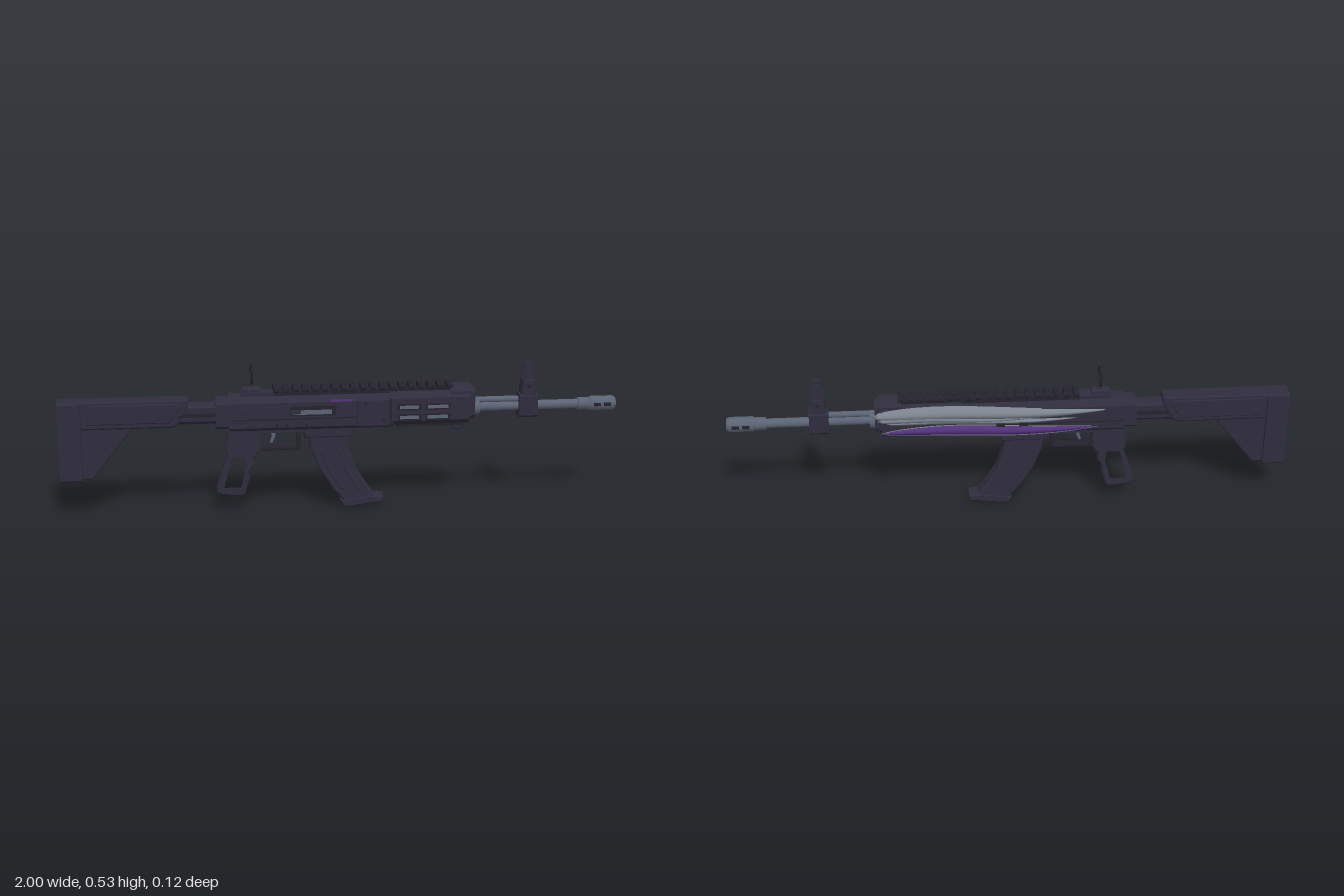
import * as THREE from 'three';
import { ParametricGeometry } from 'three/addons/geometries/ParametricGeometry.js';

const mat = (name, color, side = THREE.FrontSide) => {
  const m = new THREE.MeshStandardMaterial({ color, side });
  m.name = name;
  return m;
};

export function createModel() {
  const body = mat('dark body', 0x2f2d3d);
  const dark = mat('rail black', 0x24222d);
  const steel = mat('gunmetal', 0x5a6373);
  const silver = mat('wing silver', 0x7a838d, THREE.DoubleSide);
  const purple = mat('purple blade', 0x53327c, THREE.DoubleSide);

  const model = new THREE.Group();
  const root = new THREE.Group();
  root.name = 'rifle';
  root.position.z = 0.007;
  model.add(root);

  const add = (name, geo, m) => {
    const mesh = new THREE.Mesh(geo, m);
    mesh.name = name;
    root.add(mesh);
    return mesh;
  };
  const box = (name, m, x0, x1, y0, y1, z0, z1) =>
    add(name, new THREE.BoxGeometry(x1 - x0, y1 - y0, z1 - z0)
      .translate((x0 + x1) / 2, (y0 + y1) / 2, (z0 + z1) / 2), m);
  const outline = (pts, C = THREE.Shape) => new C(pts.map(p => new THREE.Vector2(p[0], p[1])));

  // Side profile (x, y) extruded symmetrically in z, with a small bevel
  const plate = (name, m, pts, half, bevel = 0.006, holes = []) => {
    const s = outline(pts);
    s.holes = holes.map(h => outline(h, THREE.Path));
    const g = new THREE.ExtrudeGeometry(s, {
      depth: 2 * (half - bevel), bevelEnabled: bevel > 0, bevelSize: bevel,
      bevelThickness: bevel, bevelOffset: -bevel, bevelSegments: 1,
    });
    return add(name, g.translate(0, 0, bevel - half), m);
  };

  // Chamfered block running along x: half width w, top and bottom chamfers
  const block = (name, m, x0, x1, y0, y1, w, ct, cb) => {
    const s = outline([[-w + cb, y0], [w - cb, y0], [w, y0 + cb], [w, y1 - ct],
      [w - ct, y1], [-w + ct, y1], [-w, y1 - ct], [-w, y0 + cb]]);
    const g = new THREE.ExtrudeGeometry(s, { depth: x1 - x0, bevelEnabled: false });
    return add(name, g.rotateY(Math.PI / 2).translate(x0, 0, 0), m);
  };
  const rod = (name, m, x0, x1, y, r, sides = 16, r2 = r) =>
    add(name, new THREE.CylinderGeometry(r2, r, x1 - x0, sides)
      .rotateZ(-Math.PI / 2).translate((x0 + x1) / 2, y, 0), m);
  const pin = (name, m, x, y, r, half) =>
    add(name, new THREE.CylinderGeometry(r, r, 2 * half, 12).rotateX(Math.PI / 2).translate(x, y, 0), m);

  // Stock
  block('buttPad', body, -1, -0.922, 0.128, 0.418, 0.04, 0.008, 0.008);
  plate('stockBeam', body, [[-0.925, 0.317], [-0.6, 0.317], [-0.583, 0.325], [-0.545, 0.39],
    [-0.545, 0.418], [-0.925, 0.418]], 0.034);
  plate('stockCheek', body, [[-0.9, 0.335], [-0.61, 0.335], [-0.575, 0.39], [-0.575, 0.405],
    [-0.9, 0.405]], 0.037, 0.003);
  plate('stockStrut', body, [[-0.925, 0.135], [-0.885, 0.135], [-0.735, 0.325], [-0.925, 0.325]],
    0.028, 0.005, [[[-0.886, 0.2], [-0.886, 0.316], [-0.805, 0.316]]]);
  block('bufferTube', body, -0.6, -0.43, 0.325, 0.397, 0.03, 0.012, 0.012);
  box('tubeRib', dark, -0.58, -0.45, 0.352, 0.366, -0.034, 0.034);

  // Receiver and handguard
  block('receiverRear', body, -0.45, -0.402, 0.308, 0.414, 0.043, 0.016, 0.01);
  block('receiverLower', body, -0.405, 0.18, 0.298, 0.352, 0.046, 0.002, 0.012);
  block('receiverUpper', body, -0.405, 0.17, 0.34, 0.424, 0.048, 0.024, 0.002);
  block('handguard', body, 0.17, 0.455, 0.304, 0.43, 0.049, 0.026, 0.018);
  block('handguardCap', body, 0.385, 0.465, 0.315, 0.442, 0.04, 0.02, 0.015);
  block('frontCollar', body, 0.46, 0.478, 0.318, 0.43, 0.034, 0.014, 0.014);
  box('receiverPanel', body, 0.052, 0.165, 0.308, 0.4, 0.045, 0.051);
  box('seamFront', dark, 0.166, 0.174, 0.306, 0.405, -0.0495, 0.0495);
  box('receiverSeam', dark, -0.4, 0.05, 0.338, 0.343, -0.0485, 0.0485);
  box('topCover', body, -0.36, -0.24, 0.418, 0.434, -0.027, 0.027);
  box('lowerStep', body, -0.38, 0.06, 0.288, 0.302, -0.033, 0.033);
  box('underRail', dark, 0.2, 0.44, 0.294, 0.306, -0.024, 0.024);
  plate('handStop', body, [[0.39, 0.304], [0.44, 0.304], [0.43, 0.278], [0.405, 0.278]], 0.02, 0.004);

  // Ejection port with bolt and handle
  box('portFrame', dark, -0.19, -0.025, 0.35, 0.386, 0.045, 0.049);
  box('bolt', steel, -0.18, -0.04, 0.356, 0.372, 0.045, 0.0515);
  box('boltHandle', body, -0.19, -0.15, 0.36, 0.374, 0.045, 0.056);
  box('purpleInlay', purple, -0.045, 0.03, 0.399, 0.406, 0.043, 0.0485);
  box('selector', body, -0.37, -0.25, 0.372, 0.384, 0.045, 0.052);
  for (const [x, y] of [[-0.235, 0.318], [-0.2, 0.318], [-0.13, 0.318], [0.08, 0.39], [0.145, 0.325]])
    pin('pin', dark, x, y, 0.006, 0.0525);

  // Handguard slots, on the side that is free of the wing
  for (const y of [0.335, 0.372]) for (const [a, b] of [[0.195, 0.28], [0.295, 0.385]]) {
    box('slotFrame', dark, a, b, y - 0.012, y + 0.012, 0.045, 0.0505);
    box('slot', steel, a + 0.008, b - 0.008, y - 0.006, y + 0.006, 0.046, 0.0518);
  }

  // Top rail
  box('railBase', dark, -0.245, 0.39, 0.418, 0.436, -0.027, 0.027);
  for (let i = 0; i < 19; i++) {
    const x = -0.245 + i * 0.0345;
    block('railTooth', dark, x, x + 0.02, 0.43, 0.451, 0.03, 0.006, 0.006);
  }

  // Barrel, gas tube and muzzle
  rod('barrel', steel, 0.45, 0.88, 0.355, 0.017);
  rod('barrelNut', steel, 0.47, 0.497, 0.355, 0.03, 12);
  rod('gasTube', steel, 0.46, 0.66, 0.38, 0.011);
  rod('muzzleNeck', steel, 0.862, 0.905, 0.355, 0.023, 12);
  rod('muzzleBrake', steel, 0.905, 0.99, 0.355, 0.027, 12);
  rod('muzzleTip', steel, 0.99, 1, 0.355, 0.027, 12, 0.022);
  rod('bore', dark, 0.996, 1.0005, 0.355, 0.011, 12);
  for (const s of [-1, 1]) for (const x of [0.918, 0.955])
    box('muzzlePort', dark, x, x + 0.025, 0.349, 0.361, s * 0.0255 - 0.002, s * 0.0255 + 0.002);

  // Front sight
  block('sightBlock', body, 0.641, 0.709, 0.315, 0.402, 0.029, 0.008, 0.008);
  plate('sightTower', body, [[0.647, 0.395], [0.704, 0.395], [0.697, 0.455], [0.655, 0.455]], 0.026, 0.004);
  for (const s of [-1, 1]) plate('sightEar', body, [[0.655, 0.445], [0.698, 0.445], [0.69, 0.512],
    [0.664, 0.512]], 0.004, 0).position.z = s * 0.019;
  add('sightPost', new THREE.ConeGeometry(0.006, 0.045, 8).translate(0.677, 0.474, 0), steel);
  pin('sightPin', dark, 0.675, 0.43, 0.007, 0.0275);

  // Ring rear sight
  block('rearSightBase', body, -0.355, -0.29, 0.424, 0.45, 0.018, 0.006, 0);
  box('rearSightStem', body, -0.328, -0.312, 0.445, 0.463, -0.008, 0.008);
  add('rearSightRing', new THREE.TorusGeometry(0.034, 0.0037, 8, 36).rotateY(Math.PI / 2)
    .translate(-0.32, 0.496, 0), dark);

  // Open pistol grip with finger bumps
  plate('grip', body, [[-0.41, 0.3], [-0.295, 0.3], [-0.293, 0.225], [-0.318, 0.19], [-0.316, 0.168],
    [-0.335, 0.14], [-0.333, 0.118], [-0.35, 0.06], [-0.362, 0.053], [-0.43, 0.06], [-0.452, 0.07],
    [-0.45, 0.09], [-0.412, 0.2], [-0.418, 0.225]], 0.029, 0.006,
  [[[-0.402, 0.205], [-0.345, 0.208], [-0.338, 0.165], [-0.36, 0.083], [-0.43, 0.083], [-0.428, 0.1]]]);

  // Trigger and guard
  plate('triggerGuard', dark, [[-0.305, 0.218], [-0.155, 0.218], [-0.148, 0.23], [-0.148, 0.295],
    [-0.162, 0.295], [-0.162, 0.231], [-0.305, 0.231]], 0.014, 0.002);
  plate('trigger', steel, [[-0.262, 0.295], [-0.24, 0.295], [-0.238, 0.27], [-0.25, 0.243],
    [-0.257, 0.246], [-0.25, 0.27]], 0.007, 0.001);
  plate('magCatch', dark, [[-0.145, 0.295], [-0.115, 0.295], [-0.118, 0.26], [-0.13, 0.255]], 0.01, 0.002);

  // Curved magazine
  const rear = [[-0.122, 0.295], [-0.115, 0.225], [-0.083, 0.145], [-0.035, 0.07], [0.008, 0.02]];
  const fore = [[0.125, 0.03], [0.095, 0.07], [0.052, 0.138], [0.026, 0.212], [0.018, 0.295]];
  plate('magazine', body, [...rear, ...fore], 0.03, 0.006);
  const at = (i, k) => [0, 1].map(j => rear[i][j] * (1 - k) + fore[4 - i][j] * k);
  for (const k of [0.22, 0.68]) // raised ribs following the curve
    plate('magazineRib', body, [1, 2, 3].map(i => at(i, k))
      .concat([3, 2, 1].map(i => at(i, k + 0.12))), 0.033, 0.002);
  plate('magazineWell', body, [[-0.13, 0.265], [0.03, 0.265], [0.045, 0.302], [-0.14, 0.302]], 0.034, 0.004);
  plate('magazineBase', body, [[0.006, 0], [0.148, 0.017], [0.15, 0.036], [0.1, 0.042], [-0.006, 0.026]],
    0.032, 0.004);

  // Wing ornament: bulged blades lying against the far side
  const blade = (name, m, x0, x1, mid, half, z, bulge, sway = 0, peak = 0.6) => {
    const g = new ParametricGeometry((u, v, p) => {
      const w = Math.pow(Math.sin(Math.PI * Math.min(1, Math.pow(u, peak))), 0.7) * half;
      p.set(x0 + (x1 - x0) * u,
        mid + sway * Math.sin(2 * Math.PI * u) + w * (2 * v - 1),
        -z - bulge * Math.sin(Math.PI * v) * Math.min(1, w / half + 0.1));
    }, 32, 8);
    return add(name, g, m);
  };
  blade('wingUpper', silver, 0.49, -0.35, 0.388, 0.03, 0.046, 0.02, 0.006);
  blade('wingFeather', silver, 0.47, -0.12, 0.372, 0.02, 0.049, 0.015, 0.006);
  blade('wingFeatherLow', silver, 0.44, -0.24, 0.36, 0.014, 0.048, 0.012, 0.006);
  blade('purpleTrim', silver, 0.46, -0.31, 0.322, 0.023, 0.05, 0.004, 0.006, 0.85);
  blade('purpleBlade', purple, 0.45, -0.3, 0.323, 0.019, 0.0515, 0.009, 0.006, 0.85);
  for (const x of [-0.06, 0.02])
    box('wingClasp', dark, x, x + 0.03, 0.338, 0.352, -0.058, -0.045);

  return model;
}
